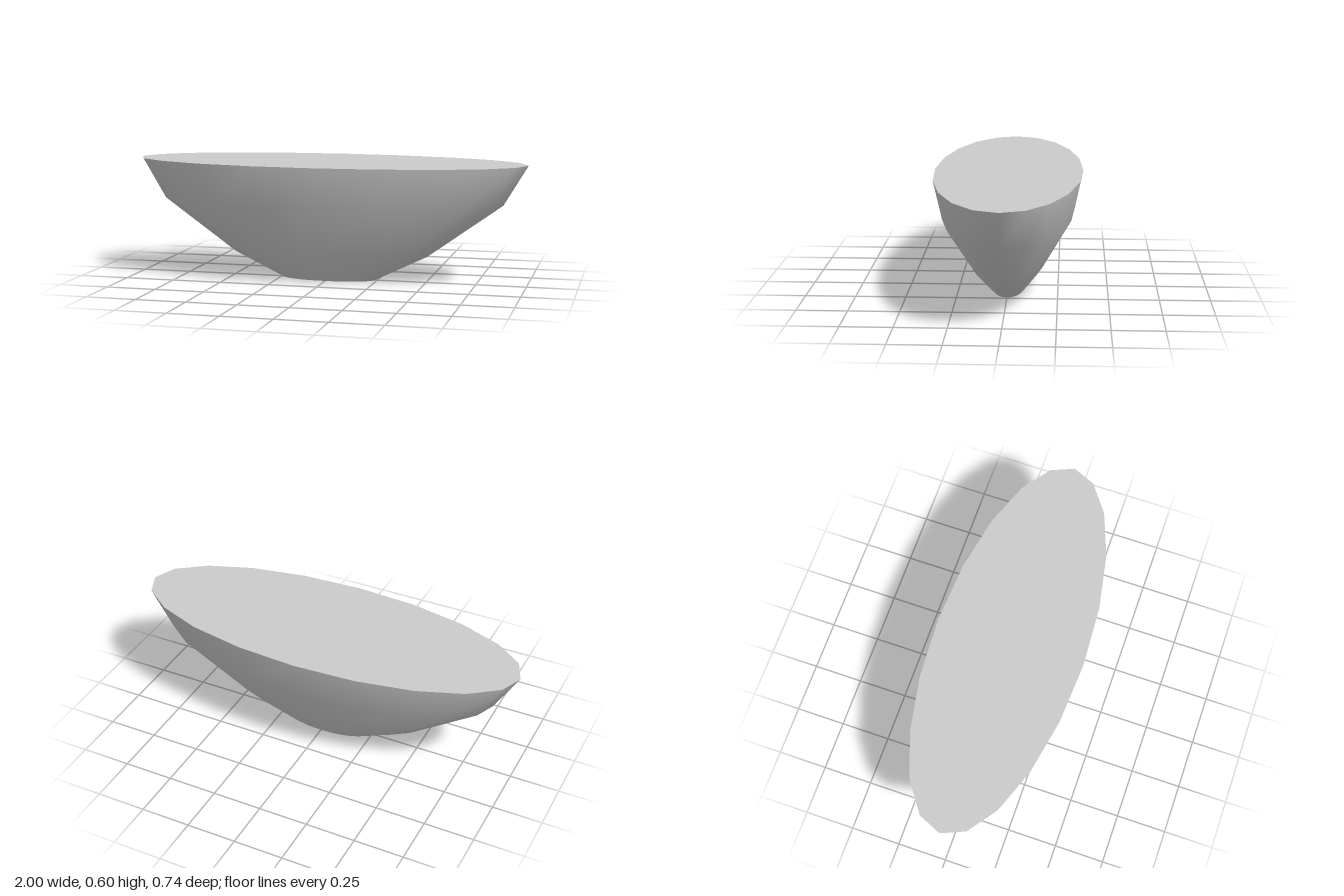
import * as THREE from 'three';
import { mergeVertices } from 'three/addons/utils/BufferGeometryUtils.js';

const SIDES = 20;

// Elliptical rings from rim to foot: height, half width (x), half depth (z)
const RINGS = [
  [0.6, 1, 0.372],
  [0.4, 0.88, 0.33],
  [0.13, 0.505, 0.179],
  [0, 0.239, 0.086],
];

export function createModel() {
  const group = new THREE.Group();
  group.name = 'ovalBowl';
  const material = new THREE.MeshStandardMaterial({ color: 0xcccccc });

  const add = (name, geometry) => {
    const mesh = new THREE.Mesh(geometry, material);
    mesh.name = name;
    group.add(mesh);
  };

  // Smooth flared wall: each row of an open cylinder takes its ring's size
  let wall = new THREE.CylinderGeometry(1, 1, 1, SIDES, RINGS.length - 1, true);
  const pos = wall.attributes.position;
  for (let i = 0; i < pos.count; i++) {
    const [y, rx, rz] = RINGS[Math.floor(i / (SIDES + 1))];
    pos.setXYZ(i, pos.getX(i) * rx, y, pos.getZ(i) * rz);
  }
  wall.deleteAttribute('uv');
  wall.deleteAttribute('normal');
  wall = mergeVertices(wall); // close the seam so shading stays continuous
  wall.computeVertexNormals();
  add('wall', wall);

  // Flat faces closing the rim and the foot
  const cap = ([y, rx, rz], facing) =>
    new THREE.CircleGeometry(1, SIDES)
      .scale(rx, rz, 1)
      .rotateX((-facing * Math.PI) / 2)
      .translate(0, y, 0);
  add('topFace', cap(RINGS[0], 1));
  add('footFace', cap(RINGS[RINGS.length - 1], -1));

  return group;
}
